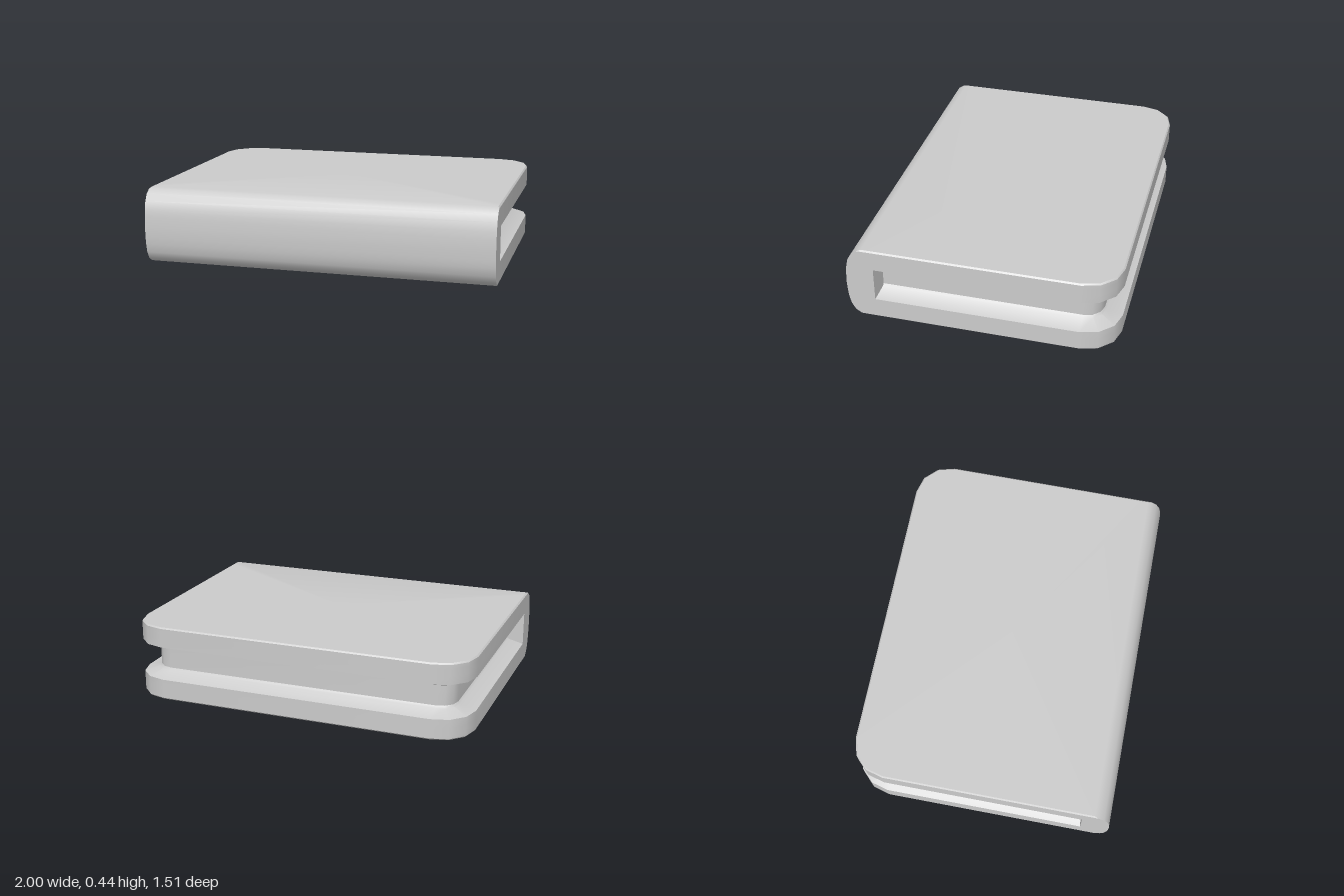
import * as THREE from 'three';
import { toCreasedNormals } from 'three/addons/utils/BufferGeometryUtils.js';

const HEIGHT = 0.437;
const BACK = 0.755;
const CORNER = 0.2;
const GROOVE_FRONT = 0.595;

// Lower half of the body: [height, front z of the spine, groove depth, edge bevel]
const lowerLevels = [
  [0, 0.66, 0, 0.008],
  [0.008, 0.682, 0, 0],
  [0.03, 0.715, 0, 0],
  [0.07, 0.738, 0, 0],
  [0.12, 0.749, 0, 0],
  [0.148, 0.752, 0.09, 0],
  [0.16, 0.753, 0.1, 0],
  [HEIGHT / 2, 0.756, 0.1, 0],
];

// Horizontal outline at one level, counterclockwise seen from above
function outline([y, front, depth, bevel]) {
  const half = [
    [1 - bevel, front],
    [1 - bevel, GROOVE_FRONT],
    [1 - bevel - depth, GROOVE_FRONT - depth * 0.15],
  ];
  // rounded back corner
  const radius = CORNER - depth - bevel;
  for (let i = 0; i <= 3; i++) {
    const a = (i * Math.PI) / 6;
    half.push([1 - CORNER + radius * Math.cos(a), -BACK + CORNER - radius * Math.sin(a)]);
  }
  const mirrored = half.map(([x, z]) => [-x, z]).reverse();
  return [...half, ...mirrored].map(([x, z]) => new THREE.Vector3(x, y, z));
}

// Skin through stacked outlines, closed with a flat cap at each end
function loft(rings) {
  const positions = [];
  const triangle = (...corners) => corners.forEach((p) => positions.push(p.x, p.y, p.z));
  const n = rings[0].length;
  const last = rings[rings.length - 1];
  const bottomCentre = new THREE.Vector3(0, rings[0][0].y, 0);
  const topCentre = new THREE.Vector3(0, last[0].y, 0);
  for (let i = 0; i < n; i++) {
    const j = (i + 1) % n;
    for (let r = 0; r < rings.length - 1; r++) {
      const lo = rings[r];
      const hi = rings[r + 1];
      triangle(lo[i], lo[j], hi[j]);
      triangle(lo[i], hi[j], hi[i]);
    }
    triangle(bottomCentre, rings[0][j], rings[0][i]);
    triangle(topCentre, last[i], last[j]);
  }
  const geometry = new THREE.BufferGeometry();
  geometry.setAttribute('position', new THREE.Float32BufferAttribute(positions, 3));
  return toCreasedNormals(geometry, 0.62);
}

export function createModel() {
  const group = new THREE.Group();
  group.name = 'groovedCase';

  // Upper half repeats the lower one, mirrored about mid height
  const upperLevels = lowerLevels
    .slice(0, -1)
    .reverse()
    .map(([y, ...rest]) => [HEIGHT - y, ...rest]);
  const rings = [...lowerLevels, ...upperLevels].map(outline);

  // Two covers, rounded spine and recessed groove in one closed body
  const body = new THREE.Mesh(loft(rings), new THREE.MeshStandardMaterial({ color: 0xcccccc }));
  body.name = 'groovedBody';
  group.add(body);
  return group;
}
